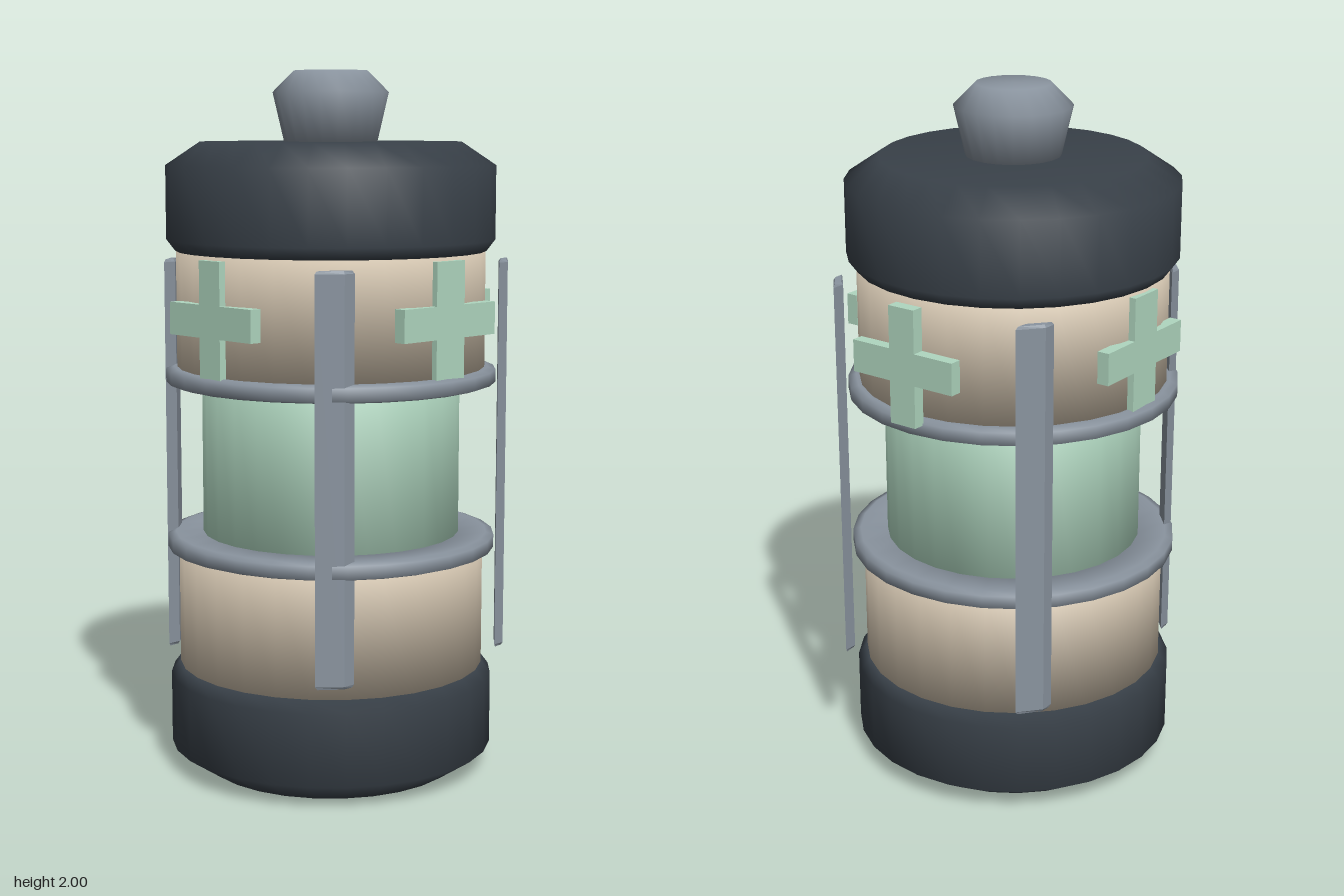
import * as THREE from 'three';

const mat = (name, color, side = THREE.FrontSide) => {
  const m = new THREE.MeshStandardMaterial({ color, side });
  m.name = name;
  return m;
};

export function createModel() {
  const dark = mat('dark rubber', 0x394149);
  const steel = mat('grey steel', 0x8a949f);
  const beige = mat('beige shell', 0xd2c4af);
  const green = mat('pale green', 0xb0d7c0);

  const model = new THREE.Group();
  model.name = 'canister';
  const CZ = 0.013; // axis of the round parts

  const add = (name, geometry, material, parent = model) => {
    const mesh = new THREE.Mesh(geometry, material);
    mesh.name = name;
    parent.add(mesh);
    return mesh;
  };

  // Round parts: [radius, height] profiles from bottom to top
  const turned = (name, profile, material, sides = 28) => {
    const points = profile.map(([r, y]) => new THREE.Vector2(r, y));
    const mesh = add(name, new THREE.LatheGeometry(points, sides), material);
    mesh.position.z = CZ;
    return mesh;
  };

  // Chamfered end caps, mirrored top and bottom
  const cap = [[0, 0], [0.37, 0], [0.467, 0.065], [0.467, 0.272], [0.442, 0.305], [0, 0.305]];
  turned('bottomCap', cap, dark);
  turned('topCap', cap.map(([r, y]) => [r, 1.803 - y]).reverse(), dark);
  turned('knob', [[0, 1.79], [0.13, 1.79], [0.165, 1.94], [0.105, 2], [0, 2]], steel, 20);

  // Shell halves around the narrower core
  turned('lowerShell', [[0, 0.29], [0.44, 0.29], [0.44, 0.665], [0, 0.665]], beige);
  turned('core', [[0, 0.6], [0.37, 0.6], [0.37, 1.2], [0, 1.2]], green);
  turned('upperShell', [[0, 1.145], [0.44, 1.145], [0.44, 1.51], [0, 1.51]], beige);

  // Guard rings
  for (const [name, y] of [['lowerRing', 0.665], ['upperRing', 1.145]]) {
    const a = y - 0.025, b = y + 0.025;
    turned(name, [[0.36, a], [0.45, a], [0.472, a + 0.007], [0.472, b - 0.007], [0.45, b], [0.36, b], [0.36, a]], steel);
  }

  // Four upright guard bars with a slanted section, bevelled at the ends
  const section = [[0.309, 0.385], [0.309, 0.345], [0.361, 0.288], [0.361, 0.325]];
  for (const sx of [1, -1]) {
    for (const sz of [1, -1]) {
      const corners = section.map(([x, z]) => new THREE.Vector2(sx * x, -(sz * z - 0.013)));
      const bar = new THREE.ExtrudeGeometry(new THREE.Shape(corners), {
        depth: 1.114, bevelThickness: 0.008, bevelSize: 0.005, bevelOffset: -0.005, bevelSegments: 1,
      });
      bar.rotateX(-Math.PI / 2);
      const mesh = add((sz > 0 ? 'front' : 'back') + (sx > 0 ? 'Left' : 'Right') + 'Bar', bar, steel);
      mesh.position.y = 0.35;
    }
  }

  // Plus-shaped plates: half length and half thickness of the arms
  const plus = (arm, w) => {
    const h = 0.165, t = 0.045;
    const pts = [[w, h], [w, t], [arm, t], [arm, -t], [w, -t], [w, -h]];
    const all = [...pts, ...pts.map(([x, y]) => [-x, -y])];
    return new THREE.Shape(all.map(([x, y]) => new THREE.Vector2(x, y)));
  };
  // name, arm, bar half width, outer face distance, turn about y
  const plates = [
    ['frontCross', 0.167, 0.042, 0.469, 0],
    ['leftCross', 0.18, 0.055, 0.452, Math.PI / 2],
    ['backCross', 0.167, 0.042, 0.485, Math.PI],
    ['rightCross', 0.18, 0.055, 0.452, -Math.PI / 2],
  ];
  for (const [name, arm, w, out, turn] of plates) {
    const depth = 0.035;
    const geometry = new THREE.ExtrudeGeometry(plus(arm, w), { depth, bevelEnabled: false });
    geometry.translate(0, 1.323, out - depth);
    add(name, geometry, green).rotation.y = turn;
  }

  return model;
}
